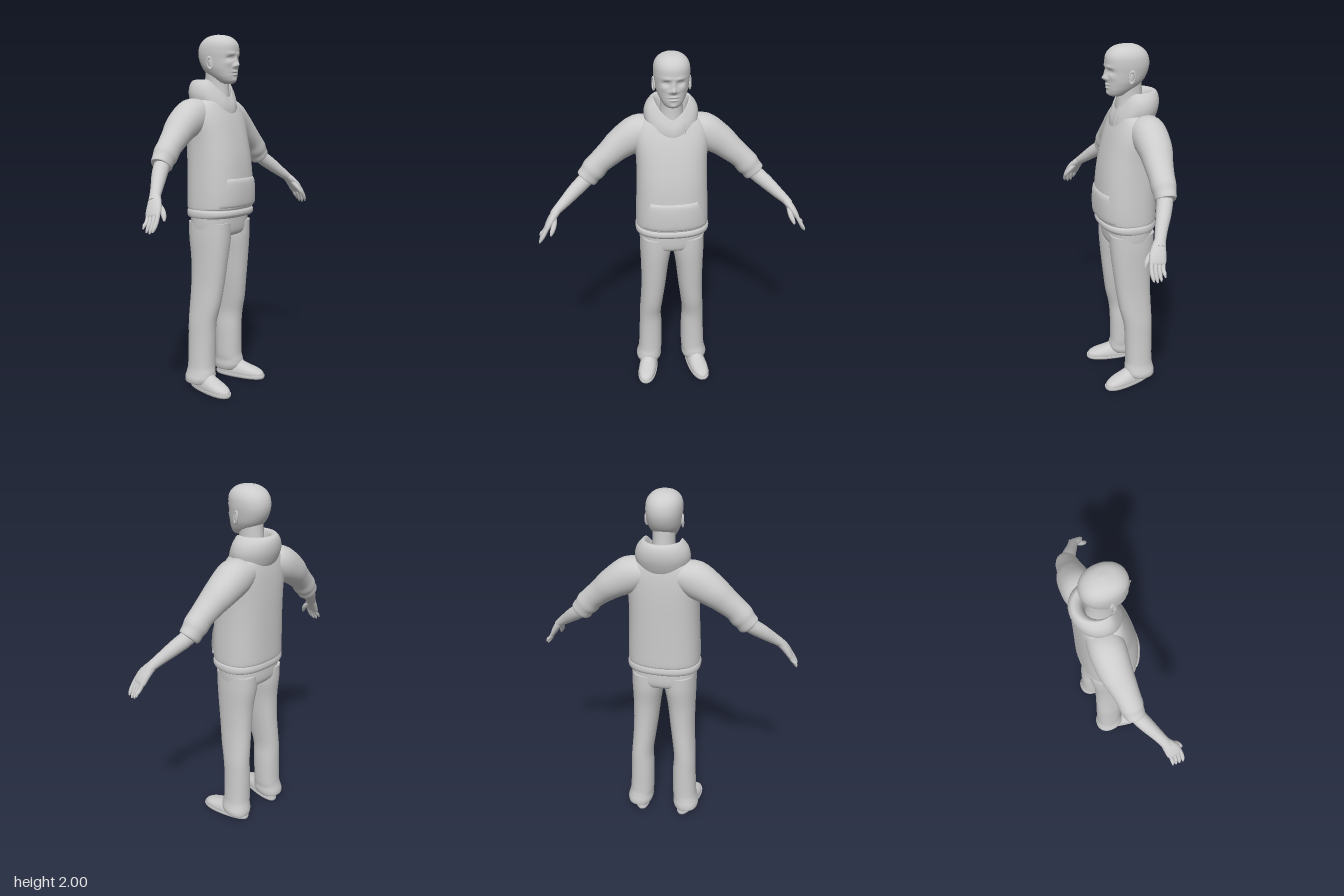
import * as THREE from 'three';

const lightGrey = new THREE.MeshStandardMaterial({ color: 0xcccccc, side: THREE.DoubleSide });
lightGrey.name = 'lightGrey';

// Smooth interpolation between section rows
function refine(rows, steps) {
  const out = [];
  const at = i => rows[Math.max(0, Math.min(rows.length - 1, i))];
  for (let i = 0; i < rows.length - 1; i++) {
    for (let k = 0; k < steps; k++) {
      const t = k / steps;
      out.push(rows[i].map((p1, c) => {
        const p0 = at(i - 1)[c], p2 = at(i + 1)[c], p3 = at(i + 2)[c];
        return p1 + 0.5 * t * (p2 - p0 + t * (2 * p0 - 5 * p1 + 4 * p2 - p3 + t * (3 * (p1 - p2) + p3 - p0)));
      }));
    }
  }
  out.push(rows[rows.length - 1]);
  return out;
}

// Skin over oval sections [x, y, z, a, b, halfAngle]; opt.follow tilts them along the path
function loft(rows, opt = {}) {
  const { n = 28, steps = 4, p = 2, follow = false, open = false, cap = true, rule } = opt;
  const secs = refine(rows, steps);
  const cols = open ? n + 1 : n;
  const Z = new THREE.Vector3(0, 0, 1);
  const pos = [], idx = [];
  const rings = secs.map((s, i) => {
    const c = new THREE.Vector3(s[0], s[1], s[2]);
    let u = new THREE.Vector3(1, 0, 0), v = Z.clone();
    if (follow) {
      const q = secs[Math.min(i + 1, secs.length - 1)], r = secs[Math.max(i - 1, 0)];
      const t = new THREE.Vector3(q[0] - r[0], q[1] - r[1], q[2] - r[2]).normalize();
      v = Z.clone().addScaledVector(t, -t.z).normalize();
      u = t.clone().cross(v);
    }
    const w = open ? s[5] : Math.PI, ring = [];
    for (let j = 0; j < cols; j++) {
      const th = Math.PI / 2 - w + 2 * w * j / n;
      const f = x => Math.sign(x) * Math.pow(Math.abs(x), 2 / p);
      const d = c.clone().addScaledVector(u, s[3] * f(Math.cos(th))).addScaledVector(v, s[4] * f(Math.sin(th)));
      if (rule) rule(d);
      ring.push(d);
    }
    return ring;
  });
  const mean = ring => {
    const m = ring.reduce((a, q) => a.add(q), new THREE.Vector3()).divideScalar(cols);
    return ring.map(() => m);
  };
  const strip = list => {
    const base = pos.length / 3;
    list.forEach(r => r.forEach(q => pos.push(q.x, q.y, q.z)));
    for (let i = 0; i < list.length - 1; i++) {
      for (let j = 0; j < n; j++) {
        const k = (j + 1) % cols, a = base + i * cols;
        idx.push(a + j, a + cols + j, a + k, a + k, a + cols + j, a + cols + k);
      }
    }
  };
  strip(rings);
  if (cap && !open) {
    strip([mean(rings[0]), rings[0]]);
    strip([rings[rings.length - 1], mean(rings[rings.length - 1])]);
  }
  const g = new THREE.BufferGeometry();
  g.setAttribute('position', new THREE.Float32BufferAttribute(pos, 3));
  g.setIndex(idx);
  g.computeVertexNormals();
  return g;
}

// Upright section from [y, zFront, zBack, halfWidth, x, halfAngle]
const upright = rows => rows.map(([y, f, b, w, x = 0, arc = 0]) => [x, y, (f + b) / 2, w, (f - b) / 2, arc]);

function mirrored(g) {
  const m = g.clone().scale(-1, 1, 1);
  const a = m.index.array;
  for (let i = 0; i < a.length; i += 3) [a[i], a[i + 1]] = [a[i + 1], a[i]];
  m.computeVertexNormals();
  return m;
}

export function createModel() {
  const model = new THREE.Group();
  model.name = 'standingMan';
  const add = (name, g) => {
    const m = new THREE.Mesh(g, lightGrey);
    m.name = name;
    model.add(m);
  };
  const pair = (name, g) => {
    add('left' + name, g);
    add('right' + name, mirrored(g));
  };

  // Head: skull and jaw, with facial features [x, y, width, height, depth] pushed along z
  const features = [
    [0, 1.832, 0.011, 0.014, 0.024], [0, 1.858, 0.009, 0.02, 0.012], [0.018, 1.826, 0.008, 0.008, 0.007],
    [0.036, 1.868, 0.017, 0.011, -0.013], [0.035, 1.867, 0.009, 0.006, 0.006], [0.03, 1.892, 0.026, 0.008, 0.005],
    [0, 1.797, 0.02, 0.005, 0.008], [0, 1.781, 0.017, 0.005, 0.007], [0, 1.789, 0.02, 0.0035, -0.005],
    [0, 1.75, 0.018, 0.012, 0.006], [0.05, 1.84, 0.016, 0.016, 0.005]
  ];
  add('head', loft(upright([
    [1.732, 0.07, 0.02, 0.02], [1.742, 0.088, -0.01, 0.042], [1.765, 0.096, -0.045, 0.06],
    [1.79, 0.098, -0.08, 0.073], [1.82, 0.099, -0.108, 0.084], [1.86, 0.1, -0.128, 0.091],
    [1.9, 0.103, -0.135, 0.095], [1.94, 0.1, -0.127, 0.092], [1.97, 0.08, -0.105, 0.077],
    [1.991, 0.045, -0.07, 0.048], [2.0, -0.01, -0.03, 0.008]
  ]), {
    n: 72, steps: 8, p: 2.15, rule: d => {
      if (d.z < 0.02) return;
      const face = Math.min(1, (d.z - 0.02) / 0.04);
      let dz = 0;
      for (const [x, y, w, h, k] of features)
        dz += k * Math.exp(-(((Math.abs(d.x) - x) / w) ** 2) - ((d.y - y) / h) ** 2);
      d.z += dz * face;
    }
  }));
  const rim = new THREE.TorusGeometry(0.02, 0.006, 8, 20).scale(0.75, 1.5, 1).rotateY(Math.PI / 2 - 0.3).rotateX(-0.15).translate(0.094, 1.842, -0.008);
  const bowl = new THREE.SphereGeometry(0.02, 14, 10).scale(0.35, 1.4, 0.75).rotateX(-0.15).translate(0.09, 1.842, -0.006);
  pair('EarRim', rim);
  pair('Ear', bowl);
  add('neck', loft(upright([
    [1.6, 0.05, -0.12, 0.075], [1.66, 0.045, -0.11, 0.066], [1.73, 0.042, -0.1, 0.06], [1.81, 0.045, -0.095, 0.06]
  ])));

  // Hooded top: body, pocket and hood
  add('hoodieBody', loft(upright([
    [1.015, 0.12, -0.135, 0.18], [1.0, 0.138, -0.152, 0.2], [1.015, 0.155, -0.162, 0.207], [1.035, 0.155, -0.161, 0.206],
    [1.046, 0.148, -0.158, 0.2], [1.06, 0.159, -0.164, 0.202], [1.15, 0.16, -0.165, 0.2], [1.3, 0.148, -0.167, 0.194],
    [1.42, 0.124, -0.168, 0.193], [1.53, 0.092, -0.165, 0.2], [1.6, 0.064, -0.158, 0.186],
    [1.645, 0.046, -0.148, 0.14], [1.665, 0.03, -0.13, 0.08]
  ]), { n: 48, p: 2.4 }));
  add('pocket', loft(upright([
    [1.06, 0.156, -0.162, 0.199, 0, 0.86], [1.066, 0.168, -0.168, 0.206, 0, 0.9], [1.1, 0.172, -0.168, 0.206, 0, 0.88],
    [1.16, 0.171, -0.168, 0.205, 0, 0.76], [1.205, 0.165, -0.168, 0.203, 0, 0.64], [1.222, 0.15, -0.168, 0.196, 0, 0.6]
  ]), { n: 24, p: 2.4, open: true }));
  add('hood', loft(upright([
    [1.585, 0.04, -0.15, 0.125], [1.62, 0.066, -0.168, 0.138], [1.67, 0.076, -0.185, 0.146], [1.715, 0.072, -0.188, 0.136],
    [1.748, 0.058, -0.178, 0.112], [1.755, 0.05, -0.155, 0.098], [1.73, 0.048, -0.125, 0.086], [1.66, 0.042, -0.105, 0.074]
  ]), {
    n: 44, cap: false, rule: d => {
      // The front dips into a notch below the chin
      d.y -= 0.085 * THREE.MathUtils.smoothstep(d.z, -0.03, 0.07);
      d.y -= 0.02 * Math.exp(-((d.x / 0.03) ** 2)) * (d.z > 0 ? 1 : 0);
    }
  }));
  add('drawstring', new THREE.CylinderGeometry(0.004, 0.004, 0.06, 8).rotateX(-0.4).translate(0.062, 1.615, 0.068));

  // Sleeves and forearms
  pair('Sleeve', loft([
    [0.09, 1.575, -0.065, 0.07, 0.085], [0.17, 1.555, -0.07, 0.098, 0.095], [0.265, 1.5, -0.07, 0.085, 0.088],
    [0.33, 1.448, -0.06, 0.072, 0.076], [0.39, 1.397, -0.052, 0.064, 0.066], [0.425, 1.358, -0.048, 0.067, 0.064],
    [0.445, 1.335, -0.046, 0.06, 0.058], [0.465, 1.308, -0.043, 0.06, 0.054], [0.47, 1.302, -0.042, 0.046, 0.045]
  ], { follow: true, p: 2.1 }));
  pair('Forearm', loft([
    [0.41, 1.37, -0.05, 0.04, 0.04], [0.47, 1.305, -0.035, 0.042, 0.042], [0.53, 1.257, -0.003, 0.039, 0.039],
    [0.59, 1.207, 0.034, 0.031, 0.032], [0.635, 1.17, 0.06, 0.024, 0.029], [0.655, 1.15, 0.07, 0.021, 0.03]
  ], { follow: true, n: 20 }));

  // Hands
  pair('Palm', loft([
    [0.63, 1.174, 0.058, 0.022, 0.027], [0.652, 1.148, 0.073, 0.021, 0.036], [0.675, 1.116, 0.088, 0.019, 0.043],
    [0.693, 1.086, 0.095, 0.015, 0.042], [0.698, 1.076, 0.097, 0.008, 0.034]
  ], { follow: true, n: 20, p: 2.3 }));
  const finger = (pts, r) => loft(pts.map((q, i) => [...q, r * [1, 1, 0.85, 0.35][i], r * [1, 1, 0.85, 0.35][i]]), { follow: true, n: 10 });
  for (let i = 0; i < 4; i++) {
    const z = 0.066 + i * 0.02, drop = [0.02, 0.004, 0, 0.008][i];
    pair('Finger' + (i + 1), finger([
      [0.686, 1.1, z], [0.712, 1.055, z + 0.008], [0.729, 1.02 + drop, z + 0.008], [0.738, 1.003 + drop, z + 0.006]
    ], 0.011));
  }
  pair('Thumb', finger([[0.648, 1.14, 0.088], [0.652, 1.108, 0.122], [0.664, 1.08, 0.142], [0.672, 1.06, 0.15]], 0.014));

  // Trousers
  add('hips', loft(upright([
    [0.885, 0.06, -0.08, 0.09], [0.9, 0.105, -0.122, 0.165], [0.94, 0.12, -0.14, 0.184], [1.04, 0.122, -0.138, 0.186]
  ]), { n: 40, p: 2.4 }));
  pair('TrouserLeg', loft(upright([
    [0.055, 0.02, -0.115, 0.055, 0.145], [0.042, 0.03, -0.13, 0.07, 0.145], [0.07, 0.046, -0.132, 0.077, 0.143],
    [0.105, 0.045, -0.125, 0.072, 0.139], [0.15, 0.039, -0.12, 0.071, 0.133], [0.3, 0.042, -0.12, 0.068, 0.129],
    [0.4, 0.05, -0.12, 0.064, 0.13], [0.5, 0.073, -0.118, 0.066, 0.121], [0.62, 0.09, -0.115, 0.071, 0.11],
    [0.76, 0.106, -0.119, 0.079, 0.102], [0.88, 0.117, -0.135, 0.09, 0.094], [0.97, 0.119, -0.138, 0.089, 0.094]
  ]), { n: 32, p: 2.2 }));

  // Shoes, turned slightly outwards
  const shoe = rows => loft(upright(rows), {
    n: 32, p: 2.3, rule: d => { d.x *= 1 + 0.6 * d.z; }
  }).rotateY(0.2).translate(0.145, 0, 0);
  pair('Sole', shoe([[0, 0.185, -0.118, 0.05], [0.008, 0.19, -0.121, 0.055], [0.02, 0.19, -0.121, 0.055]]));
  pair('Shoe', shoe([
    [0.018, 0.185, -0.118, 0.052], [0.035, 0.18, -0.118, 0.053], [0.052, 0.155, -0.116, 0.05],
    [0.068, 0.105, -0.112, 0.045], [0.085, 0.06, -0.108, 0.04], [0.11, 0.03, -0.1, 0.036]
  ]));
  return model;
}
